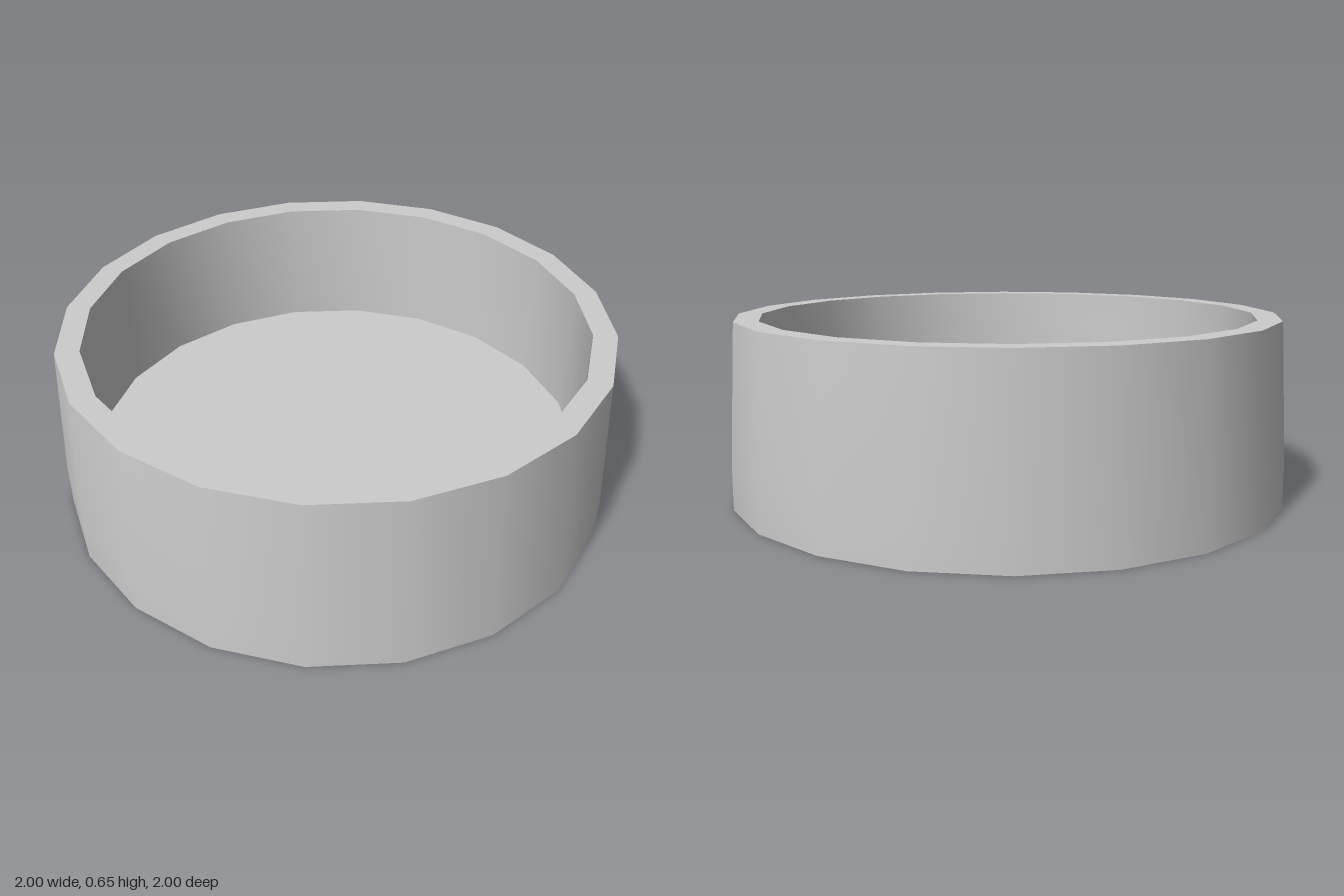
import * as THREE from 'three';
import { toCreasedNormals } from 'three/addons/utils/BufferGeometryUtils.js';

const SIDES = 20;

export function createModel() {
  const group = new THREE.Group();
  group.name = 'dish';
  const material = new THREE.MeshStandardMaterial({ color: 0xcccccc });

  // Closed profile: underside, outer wall (straight foot, then taper), rim, inner wall, floor
  const profile = [
    [0, 0], [1, 0], [1, 0.165], [0.975, 0.65],
    [0.89, 0.65], [0.89, 0.16], [0, 0.16],
  ].map(([r, y]) => new THREE.Vector2(r, y));

  const geometry = toCreasedNormals(new THREE.LatheGeometry(profile, SIDES), 0.6);
  const bowl = new THREE.Mesh(geometry, material);
  bowl.name = 'bowl';
  group.add(bowl);
  return group;
}
